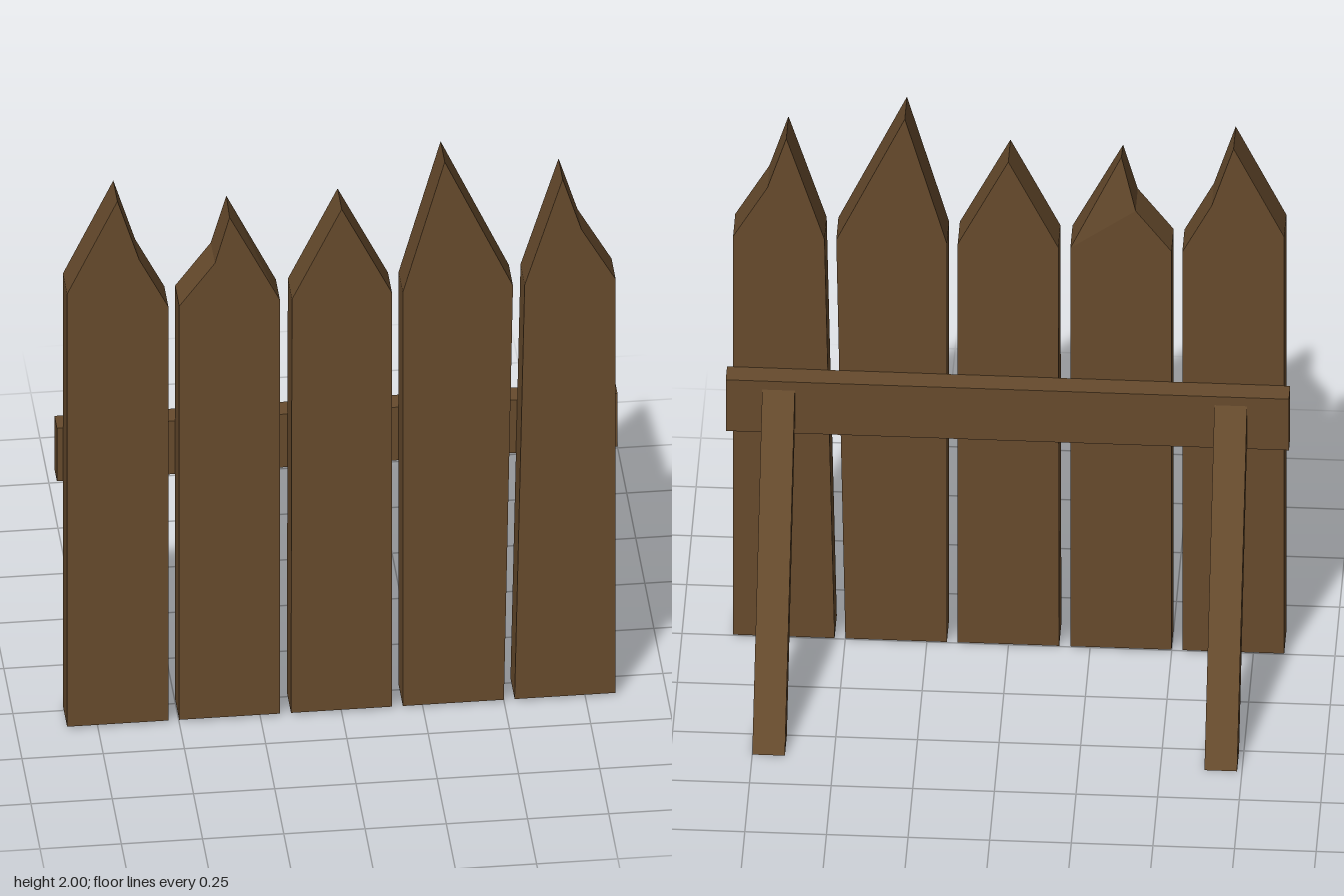
import * as THREE from 'three';

const PLANK_BACK = 0.24, PLANK_FRONT = 0.355, RAIL_BACK = 0.172;

// Straight prism from an outline, running along z from z0 to z1
function prism(outline, z0, z1) {
  const shape = new THREE.Shape(outline.map(([x, y]) => new THREE.Vector2(x, y)));
  const geo = new THREE.ExtrudeGeometry(shape, { depth: z1 - z0, bevelEnabled: false });
  return geo.translate(0, 0, z0);
}

// Chipped plank tip: the back of the peak leans forward, the front edge is a little lower
function chipTip(geo, tipY) {
  const p = geo.attributes.position;
  for (let i = 0; i < p.count; i++) {
    if (p.getY(i) < tipY - 0.01) continue;
    if (p.getZ(i) < 0.3) p.setZ(i, 0.265);
    else p.setY(i, tipY - 0.02);
  }
  geo.computeVertexNormals();
  return geo;
}

export function createModel() {
  const wood = new THREE.MeshStandardMaterial({ color: 0x674b2d, flatShading: true });
  wood.name = 'brown wood';
  const fence = new THREE.Group();
  fence.name = 'fence';
  const add = (name, geo) => {
    const mesh = new THREE.Mesh(geo, wood);
    mesh.name = name;
    fence.add(mesh);
  };

  // Pointed planks, each outlined counter-clockwise from its bottom left corner
  const planks = [
    [[-0.845, 0.01], [-0.533, 0.01], [-0.533, 1.53], [-0.623, 1.71], [-0.69, 1.93], [-0.845, 1.6]],
    [[-0.5, 0.01], [-0.19, 0.01], [-0.19, 1.53], [-0.345, 1.865], [-0.39, 1.68], [-0.5, 1.53]],
    [[-0.156, 0.01], [0.155, 0.01], [0.155, 1.53], [0, 1.85], [-0.153, 1.53]],
    [[0.188, 0.01], [0.499, 0.01], [0.527, 1.53], [0.317, 2], [0.188, 1.53]],
    [[0.532, 0.01], [0.843, 0.01], [0.843, 1.53], [0.738, 1.72], [0.68, 1.91], [0.563, 1.53]],
  ];
  planks.forEach((outline, i) => {
    const geo = prism(outline, PLANK_BACK, PLANK_FRONT);
    add(`plank${i + 1}`, i === 1 ? chipTip(geo, 1.865) : geo);
  });

  // Cross rail behind the planks
  const rail = new THREE.BoxGeometry(1.725, 0.195, PLANK_BACK - RAIL_BACK);
  add('rail', rail.translate(-0.001, 0.935, (PLANK_BACK + RAIL_BACK) / 2));

  // Slanted braces, outlined from the side as (-z, y) and turned to run along x
  const side = [[0.25, 0], [0.355, 0], [-RAIL_BACK, 1], [-RAIL_BACK, 0.865]];
  [['rightBrace', -0.735], ['leftBrace', 0.65]].forEach(([name, x]) =>
    add(name, prism(side, x, x + 0.1).rotateY(Math.PI / 2)));

  return fence;
}
